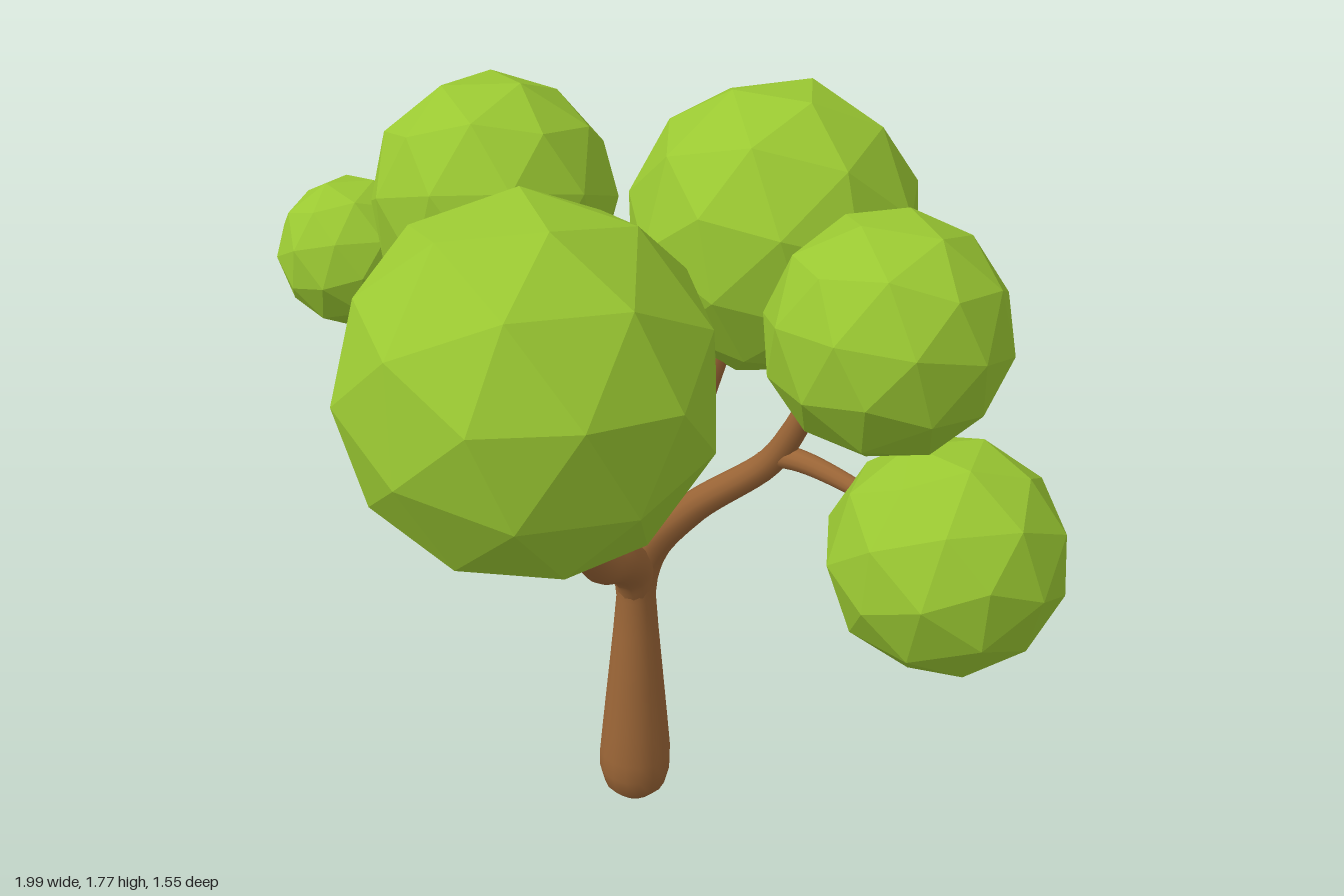
import * as THREE from 'three';

const bark = new THREE.MeshStandardMaterial({ color: 0x9c6637 });
const leaf = new THREE.MeshStandardMaterial({ color: 0x9ac832, flatShading: true });

// Smooth tapered limb; each point is [x, y, z, radius]
function limb(name, points) {
  const curve = new THREE.CatmullRomCurve3(points.map(p => new THREE.Vector3(p[0], p[1], p[2])));
  const rings = points.length * 5, sides = 12;
  const geometry = new THREE.TubeGeometry(curve, rings, 1, sides);
  const pos = geometry.attributes.position;
  const v = new THREE.Vector3(), centre = new THREE.Vector3();
  for (let i = 0; i <= rings; i++) {
    const u = i / rings;
    curve.getPointAt(u, centre);
    const t = curve.getUtoTmapping(u) * (points.length - 1);
    const k = Math.min(Math.floor(t), points.length - 2);
    const radius = THREE.MathUtils.lerp(points[k][3], points[k + 1][3], t - k);
    for (let j = 0; j <= sides; j++) {
      const n = i * (sides + 1) + j;
      v.fromBufferAttribute(pos, n).sub(centre).multiplyScalar(radius).add(centre);
      pos.setXYZ(n, v.x, v.y, v.z);
    }
  }
  const mesh = new THREE.Mesh(geometry, bark);
  mesh.name = name;
  return mesh;
}

// Faceted ball of leaves
function foliage(name, x, y, z, radius, turn) {
  const mesh = new THREE.Mesh(new THREE.IcosahedronGeometry(radius, 1), leaf);
  mesh.name = name;
  mesh.position.set(x, y, z);
  mesh.rotation.set(turn, turn * 1.7, turn * 0.6);
  return mesh;
}

export function createModel() {
  const tree = new THREE.Group();
  tree.name = 'tree';

  // Trunk with a rounded foot, a narrow neck and a flared crotch
  const profile = [[0, 0], [0.05, 0.012], [0.076, 0.04], [0.088, 0.09], [0.088, 0.14], [0.081, 0.22],
    [0.068, 0.36], [0.055, 0.5], [0.047, 0.6], [0.053, 0.66], [0.066, 0.72], [0.066, 0.75], [0.045, 0.785], [0, 0.8]];
  const trunk = new THREE.Mesh(
    new THREE.LatheGeometry(profile.map(p => new THREE.Vector2(...p)), 16), bark);
  trunk.name = 'trunk';
  trunk.position.set(-0.02, 0, -0.09);
  tree.add(trunk);

  // Main branches and their forks
  tree.add(
    limb('rightBranch', [[-0.02, 0.6, -0.09, 0.04], [-0.055, 0.74, -0.09, 0.046], [-0.17, 0.91, -0.09, 0.037],
      [-0.33, 1.11, -0.09, 0.031], [-0.36, 1.19, -0.09, 0.03], [-0.37, 1.32, -0.08, 0.024]]),
    limb('rightTwig', [[-0.32, 1.14, -0.09, 0.018], [-0.39, 1.17, -0.09, 0.025], [-0.54, 1.182, -0.085, 0.018],
      [-0.68, 1.205, -0.07, 0.017], [-0.78, 1.25, -0.05, 0.014]]),
    limb('leftBranch', [[-0.02, 0.6, -0.09, 0.04], [0.015, 0.74, -0.09, 0.046], [0.14, 0.9, -0.09, 0.036],
      [0.33, 1.08, -0.09, 0.03], [0.38, 1.16, -0.09, 0.028], [0.45, 1.32, -0.09, 0.022]]),
    limb('leftTwig', [[0.31, 1.08, -0.09, 0.018], [0.38, 1.11, -0.09, 0.025], [0.53, 1.09, -0.1, 0.019],
      [0.66, 1.05, -0.1, 0.015]]),
    limb('frontBranch', [[-0.02, 0.61, -0.09, 0.04], [-0.005, 0.7, -0.05, 0.055], [0.025, 0.77, 0.03, 0.051],
      [0.06, 0.83, 0.14, 0.041], [0.1, 0.93, 0.24, 0.031], [0.115, 1.04, 0.29, 0.025], [0.115, 1.15, 0.32, 0.02]]),
    limb('backBranch', [[-0.02, 0.6, -0.09, 0.04], [-0.015, 0.75, -0.12, 0.052], [0.005, 0.93, -0.2, 0.043],
      [0.03, 1.13, -0.29, 0.036], [0.05, 1.3, -0.37, 0.03]])
  );

  // Leaf balls
  tree.add(
    foliage('frontFoliage', 0.09, 1.385, 0.4, 0.382, 0.35),
    foliage('backFoliage', 0.085, 1.435, -0.45, 0.332, 1.1),
    foliage('rightFoliage', -0.41, 1.5, -0.075, 0.278, 2.3),
    foliage('rightTipFoliage', -0.823, 1.282, -0.03, 0.181, 0.8),
    foliage('leftUpperFoliage', 0.578, 1.448, -0.105, 0.248, 1.6),
    foliage('leftLowerFoliage', 0.75, 1.003, -0.11, 0.249, 2.9)
  );
  return tree;
}
